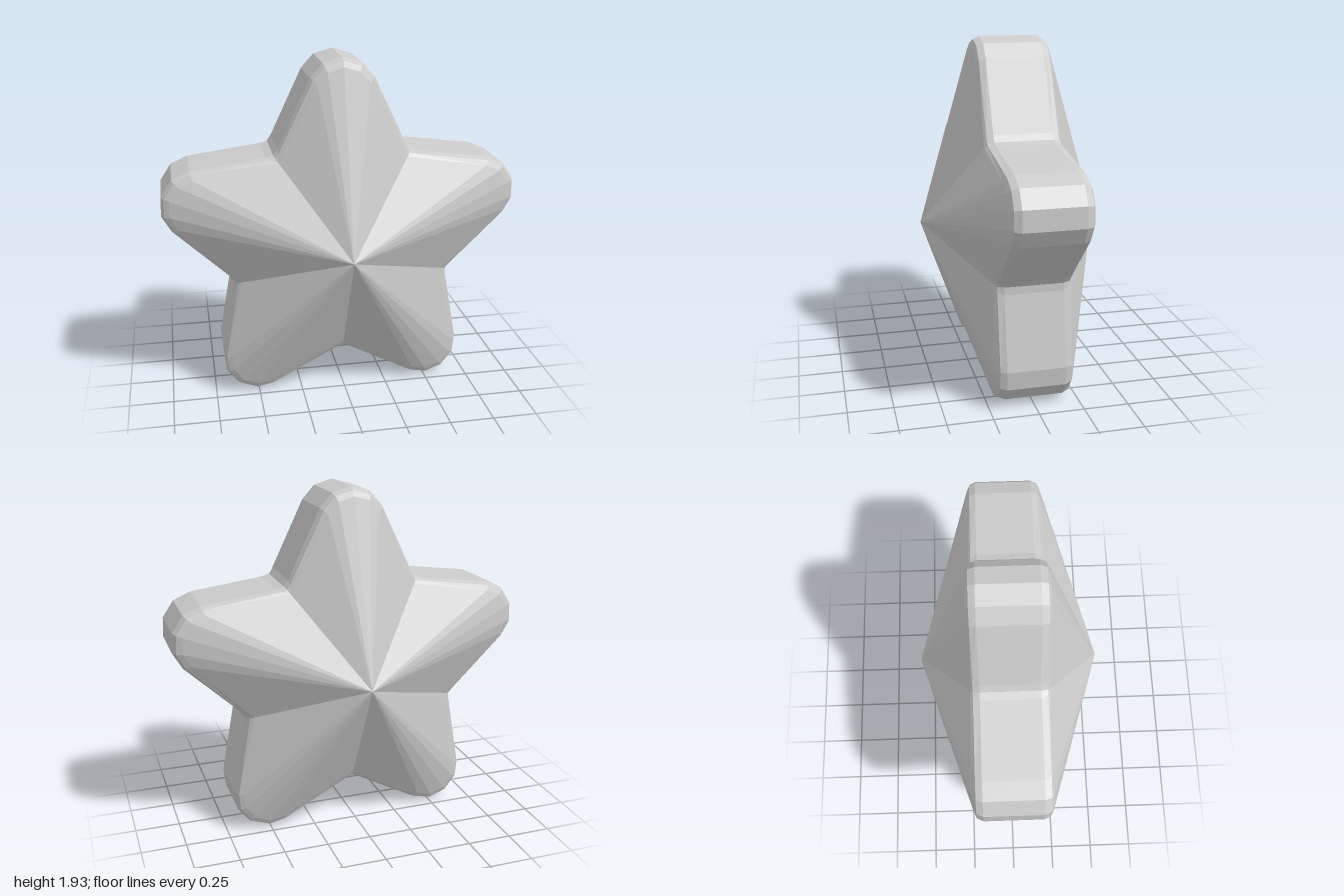
import * as THREE from 'three';

const CENTRE_Y = 0.888;

// Outline points as [sideways, outward], counterclockwise: rounded tip, then rounded valley
const outer = {
  tip: [[-0.177, 0.94], [-0.107, 1.018], [0, 1.048], [0.107, 1.018], [0.177, 0.94]],
  valley: [[-0.04, 0.664], [0, 0.65], [0.04, 0.664]],
};
const inner = {
  tip: [[-0.145, 0.912], [-0.088, 0.975], [0, 1.0], [0.088, 0.975], [0.145, 0.912]],
  valley: [[0, 0.612], [0, 0.612], [0, 0.612]],
};

// One closed star ring at depth z; inset 0 is the outer outline, 1 the inner one
function starRing(inset, z, size = 1) {
  const ring = [];
  for (let k = 0; k < 5; k++) {
    for (const part of ['tip', 'valley']) {
      const a = Math.PI / 2 + (k * 2 + (part === 'valley' ? 1 : 0)) * Math.PI / 5;
      outer[part].forEach((p, i) => {
        const q = inner[part][i];
        const u = THREE.MathUtils.lerp(p[0], q[0], inset) * size;
        const r = THREE.MathUtils.lerp(p[1], q[1], inset) * size;
        ring.push(new THREE.Vector3(
          r * Math.cos(a) - u * Math.sin(a),
          r * Math.sin(a) + u * Math.cos(a) + CENTRE_Y,
          z));
      });
    }
  }
  return ring;
}

// Join rings from front to back with flat facets, skipping collapsed triangles
function loft(rings) {
  const pos = [];
  const tri = (a, b, c) => {
    if (a.distanceTo(b) < 1e-6 || b.distanceTo(c) < 1e-6 || c.distanceTo(a) < 1e-6) return;
    for (const p of [a, b, c]) pos.push(p.x, p.y, p.z);
  };
  for (let s = 0; s < rings.length - 1; s++) {
    const A = rings[s], B = rings[s + 1];
    for (let i = 0; i < A.length; i++) {
      const j = (i + 1) % A.length;
      tri(A[i], B[i], B[j]);
      tri(A[i], B[j], A[j]);
    }
  }
  const g = new THREE.BufferGeometry();
  g.setAttribute('position', new THREE.Float32BufferAttribute(pos, 3));
  g.computeVertexNormals();
  return g;
}

export function createModel() {
  const grey = new THREE.MeshStandardMaterial({ color: 0xcccccc, flatShading: true });
  grey.name = 'light grey';

  // Front point, bevel, rim, bevel, back point
  const star = new THREE.Mesh(loft([
    starRing(1, 0.515, 0),
    starRing(1, 0.213),
    starRing(0.35, 0.198),
    starRing(0, 0.162),
    starRing(0, -0.162),
    starRing(0.35, -0.198),
    starRing(1, -0.213),
    starRing(1, -0.515, 0),
  ]), grey);
  star.name = 'starBody';

  const group = new THREE.Group();
  group.name = 'star';
  group.add(star);
  return group;
}
